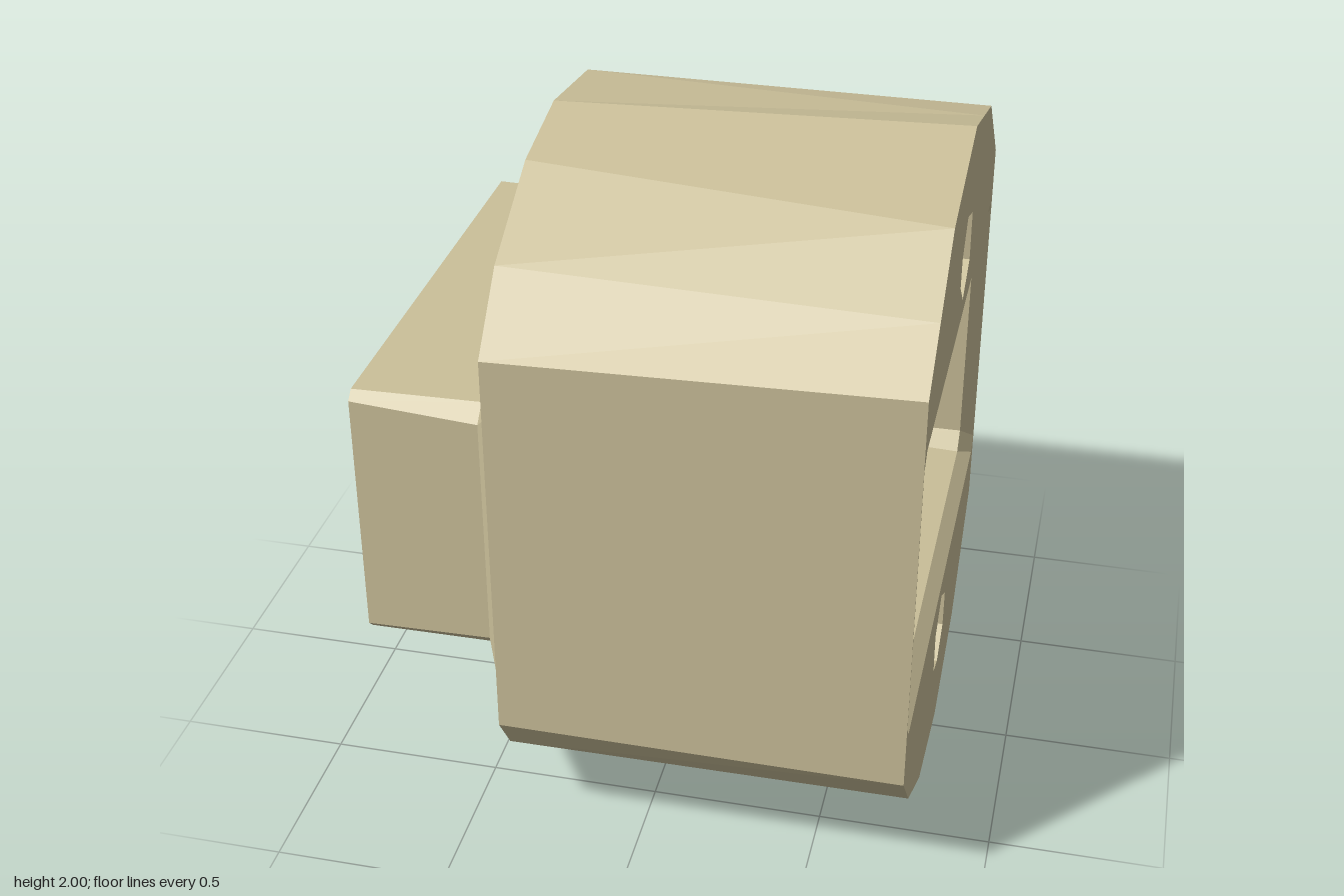
import * as THREE from 'three';

const X_TIP = -0.78, X_BACK = -0.38, X_FLOOR = 0.39, X_FACE = 0.77;

// Rings are lists of [z, y], running from +z over the top to -z.
const faceOutline = [
  [0.79, 1.62], [0.62, 1.75], [0.41, 1.91], [-0.04, 2], [-0.26, 1.94], [-0.48, 1.88], [-0.79, 1.61],
  [-0.79, 0.38], [-0.45, 0.11], [-0.06, 0], [0.33, 0.06], [0.63, 0.23], [0.79, 0.41],
];
const backOutline = [
  [0.79, 1.59], [0.62, 1.78], [0.32, 1.945], [0.04, 2], [-0.31, 1.955], [-0.6, 1.8], [-0.79, 1.6],
  [-0.79, 0.4], [-0.42, 0.09], [0, 0], [0.41, 0.09], [0.7, 0.285], [0.79, 0.415],
];
const upperHole = [[0.115, 1.68], [0.03, 1.765], [-0.1, 1.72], [-0.11, 1.57], [0.02, 1.51], [0.115, 1.59]];
const lowerHole = [[0.11, 0.42], [0, 0.495], [-0.11, 0.43], [-0.11, 0.31], [0, 0.25], [0.095, 0.28]];
const windowRing = [[0.58, 1.225], [-0.58, 1.225], [-0.58, 0.78], [0.58, 0.78]];

// Rectangle with cut corners
function rect(w, y0, y1, c) {
  return [
    [w, y1 - c], [w - c, y1], [c - w, y1], [-w, y1 - c],
    [-w, y0 + c], [c - w, y0], [w - c, y0], [w, y0 + c],
  ];
}

// Wall between two rings: faces outward when going towards +x, inward towards -x
function loft(out, ringA, xA, ringB, xB) {
  const n = ringA.length;
  for (let i = 0; i < n; i++) {
    const j = (i + 1) % n;
    const p = (r, x, k) => [x, r[k][1], r[k][0]];
    out.push(...p(ringA, xA, i), ...p(ringB, xB, i), ...p(ringB, xB, j));
    out.push(...p(ringA, xA, i), ...p(ringB, xB, j), ...p(ringA, xA, j));
  }
}

// Flat face with holes, facing dir (+1 or -1) along x
function cap(out, outline, holes, x, dir) {
  const toV = (r) => r.map(([z, y]) => new THREE.Vector2(z, y));
  const contour = toV(outline), inner = holes.map(toV);
  const pts = [contour, ...inner].flat();
  for (const [a, b, c] of THREE.ShapeUtils.triangulateShape(contour, inner)) {
    const area = THREE.ShapeUtils.area([pts[a], pts[b], pts[c]]);
    const order = -area * dir > 0 ? [a, b, c] : [a, c, b];
    for (const k of order) out.push(x, pts[k].y, pts[k].x);
  }
}

export function createModel() {
  const group = new THREE.Group();
  group.name = 'flangedConnector';
  const material = new THREE.MeshStandardMaterial({ color: 0xcbc09a, flatShading: true });

  function part(name, build) {
    const positions = [];
    build(positions);
    const geometry = new THREE.BufferGeometry();
    geometry.setAttribute('position', new THREE.Float32BufferAttribute(positions, 3));
    geometry.computeVertexNormals();
    const mesh = new THREE.Mesh(geometry, material);
    mesh.name = name;
    group.add(mesh);
  }

  const opening = rect(0.785, 0.555, 1.455, 0.04);
  const lip = rect(0.73, 0.59, 1.42, 0.05);
  const floor = rect(0.71, 0.61, 1.4, 0.04);
  const flare = rect(0.785, 0.55, 1.45, 0.04);
  const plugBase = rect(0.71, 0.61, 1.395, 0.045);
  const plugTip = rect(0.705, 0.62, 1.398, 0.025);

  // Rounded block with its two end faces
  part('body', (out) => {
    loft(out, backOutline, X_BACK, faceOutline, X_FACE);
    cap(out, faceOutline, [opening, upperHole, lowerHole], X_FACE, 1);
    cap(out, backOutline, [flare, upperHole, lowerHole], X_BACK, -1);
  });

  // Bolt holes through the block
  for (const [name, ring] of [['upperBoltHole', upperHole], ['lowerBoltHole', lowerHole]]) {
    part(name, (out) => loft(out, ring, X_FACE, ring, X_BACK));
  }

  // Chamfered recess that receives a matching plug
  part('socket', (out) => {
    loft(out, opening, X_FACE, lip, 0.73);
    loft(out, lip, 0.73, floor, X_FLOOR);
    cap(out, floor, [windowRing], X_FLOOR, 1);
  });

  // Projecting rectangular plug with flared root
  part('plug', (out) => {
    loft(out, plugTip, X_TIP, plugBase, -0.42);
    loft(out, plugBase, -0.42, flare, X_BACK);
    cap(out, plugTip, [windowRing], X_TIP, -1);
  });

  // Rectangular passage from the socket floor to the plug tip
  part('passage', (out) => loft(out, windowRing, X_FLOOR, windowRing, X_TIP));

  return group;
}
